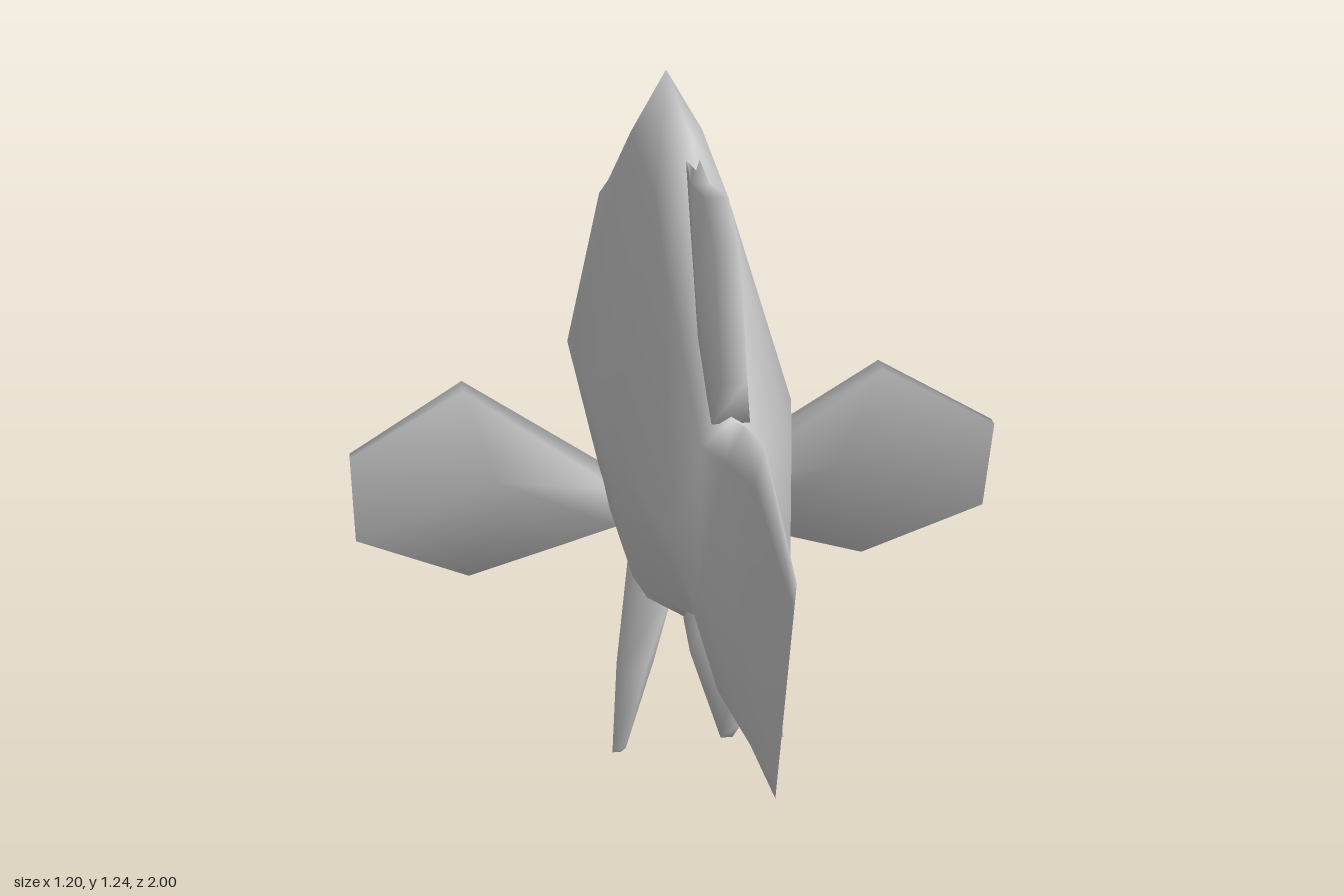
import * as THREE from 'three';

const material = new THREE.MeshStandardMaterial({ color: 0xcccccc, side: THREE.DoubleSide });

function makeMesh(name, positions, indices) {
  const geometry = new THREE.BufferGeometry();
  geometry.setAttribute('position', new THREE.Float32BufferAttribute(positions.flat(), 3));
  geometry.setIndex(indices);
  geometry.computeVertexNormals();
  const mesh = new THREE.Mesh(geometry, material);
  mesh.name = name;
  return mesh;
}

// Body and tail: eight-sided rings lofted from the snout (-z) to the tail edge (+z).
// Each row: bottom z, bottom y, top z, top y, half width, shoulder width factor.
function makeBody() {
  const sections = [
    [-0.95, 0.49, -1.0, 0.6, 0.1, 0.7],
    [-0.9, 0.47, -0.88, 0.81, 0.115, 0.75],
    [-0.68, 0.385, -0.75, 0.965, 0.145, 0.6],
    [-0.5, 0.335, -0.55, 1.07, 0.175, 0.5],
    [-0.35, 0.31, -0.35, 1.24, 0.185, 0.35],
    [0, 0.34, -0.02, 1.21, 0.175, 0.35],
    [0.12, 0.365, 0.1, 1.13, 0.155, 0.4],
    [0.44, 0.53, 0.44, 0.89, 0.095, 0.5],
    [0.6, 0.47, 0.56, 0.93, 0.07, 0.4],
    [0.78, 0.475, 0.74, 0.975, 0.035, 0.4],
    [0.87, 0.48, 1.0, 0.89, 0, 0],
  ];
  const positions = [];
  const indices = [];
  for (const [zb, yb, zt, yt, w, shoulder] of sections) {
    const half = [[0, 0], [0.62, 0.08], [1, 0.45], [shoulder, 0.88], [0, 1]];
    const ring = [...half, ...half.slice(1, 4).reverse().map(([x, t]) => [-x, t])];
    for (const [x, t] of ring) {
      positions.push([x * w, yb + (yt - yb) * t, zb + (zt - zb) * t]);
    }
  }
  for (let i = 0; i < sections.length - 1; i++) {
    for (let j = 0; j < 8; j++) {
      const a = i * 8 + j, b = i * 8 + (j + 1) % 8;
      indices.push(a, b, b + 8, a, b + 8, a + 8);
    }
  }
  // Mouth cap
  for (let j = 1; j < 7; j++) indices.push(0, j + 1, j);
  return makeMesh('body', positions, indices);
}

// Fin: a rim of [x, y, z, half thickness], thickened along one axis,
// with each face fanned around a raised centre.
function makeFin(name, rim, centre, axis, side = 1) {
  const n = rim.length;
  const pts = [...rim, centre].map(([x, y, z, h]) => [x * side, y, z, h]);
  const layer = (s) => pts.map((p) => {
    const q = p.slice(0, 3);
    q[axis] += s * p[3];
    return q;
  });
  const positions = [...layer(1), ...layer(-1)];

  // Signed area decides which way the outline winds about the thickness axis
  const u = (axis + 1) % 3, v = (axis + 2) % 3;
  let area = 0;
  for (let i = 0; i < n; i++) {
    const p = pts[i], q = pts[(i + 1) % n];
    area += p[u] * q[v] - q[u] * p[v];
  }
  const indices = [];
  const back = n + 1;
  for (let i = 0; i < n; i++) {
    let a = i, b = (i + 1) % n;
    if (area < 0) [a, b] = [b, a];
    indices.push(n, a, b, back + n, back + b, back + a);
    indices.push(a, back + a, back + b, a, back + b, b);
  }
  return makeMesh(name, positions, indices);
}

export function createModel() {
  const model = new THREE.Group();
  model.name = 'fish';
  model.add(makeBody());

  // Fins on the centre line
  model.add(makeFin('dorsalFin', [
    [0, 1.18, -0.02, 0.01], [0, 1.16, 0.09, 0.015], [0, 1.19, 0.26, 0.02],
    [0, 1.15, 0.38, 0.02], [0, 0.96, 0.46, 0.02], [0, 0.88, 0.43, 0.03],
    [0, 0.95, 0.28, 0.03],
  ], [0, 1.05, 0.3, 0.035], 0));
  model.add(makeFin('analFin', [
    [0, 0.37, 0.1, 0.03], [0, 0.31, 0.41, 0.01], [0, 0.37, 0.47, 0.015],
    [0, 0.54, 0.435, 0.04], [0, 0.55, 0.25, 0.05],
  ], [0, 0.43, 0.33, 0.05], 0));

  // Paired fins
  for (const side of [1, -1]) {
    const label = side > 0 ? 'left' : 'right';
    model.add(makeFin(label + 'PectoralFin', [
      [0.1, 0.43, -0.38, 0.05], [0.1, 0.335, -0.41, 0.045],
      [0.39, 0.245, -0.395, 0.025], [0.6, 0.39, -0.265, 0.012],
      [0.6, 0.58, -0.215, 0.012], [0.39, 0.69, -0.255, 0.025],
    ], [0.33, 0.47, -0.34, 0.035], 2, side));
    model.add(makeFin(label + 'PelvicFin', [
      [0.04, 0.35, -0.12, 0.03], [0.115, 0.27, 0.085, 0.02],
      [0.145, 0.1, 0.075, 0.012], [0.135, 0.005, -0.07, 0.008],
      [0.105, 0.045, -0.25, 0.012], [0.05, 0.26, -0.36, 0.025],
      [0.04, 0.35, -0.36, 0.03],
    ], [0.095, 0.18, -0.1, 0.035], 0, side));
  }
  return model;
}
